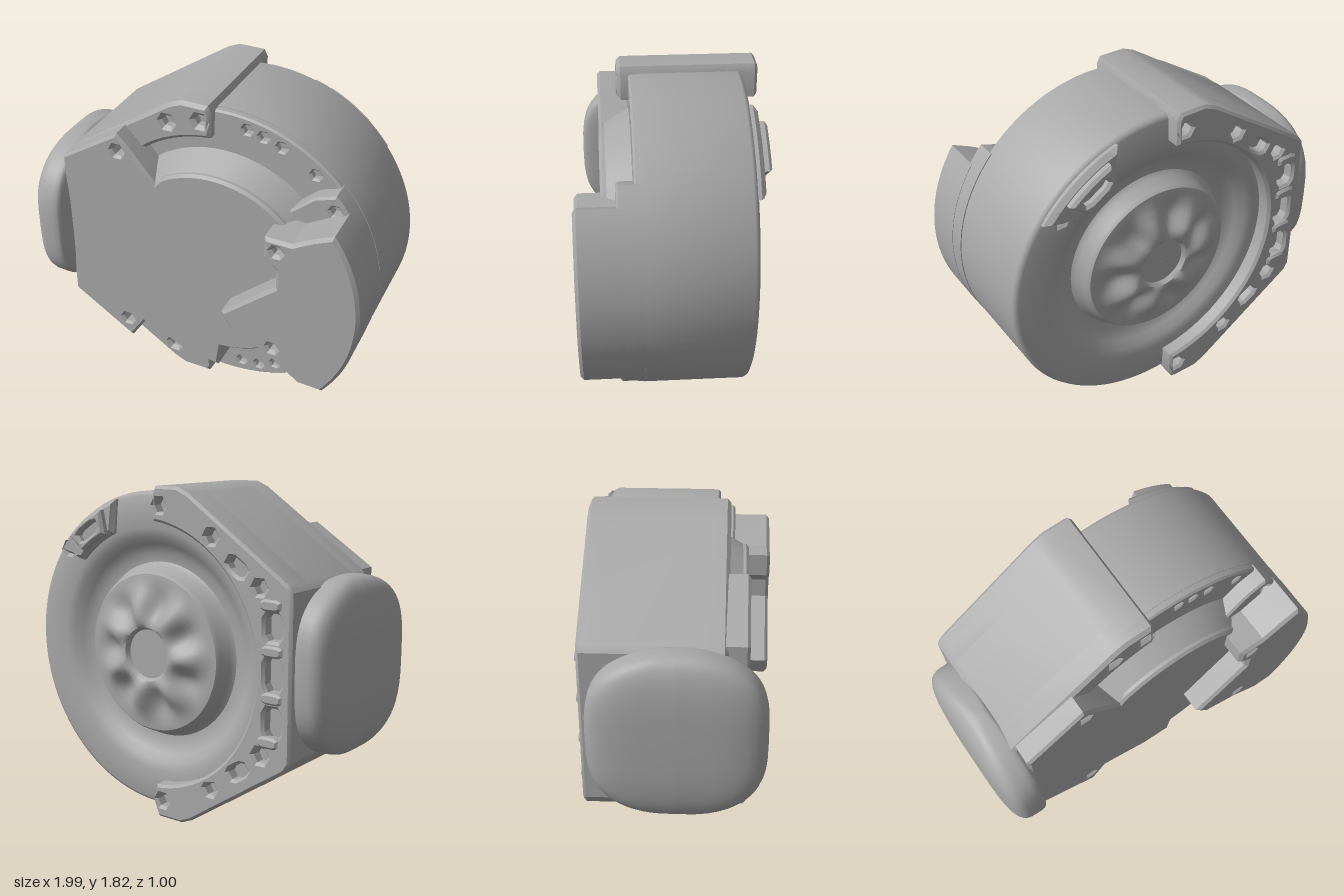
import * as THREE from 'three';
import { toCreasedNormals } from 'three/addons/utils/BufferGeometryUtils.js';

const CX = 0.11, CY = 0.92, R = 0.877;
const RAD = Math.PI / 180;

// points along an arc (degrees) about the drum axis, or about any given centre
function arc(r, a0, a1, n, cx = CX, cy = CY) {
  return Array.from({ length: n + 1 }, (_, i) => {
    const a = (a0 + (a1 - a0) * i / n) * RAD;
    return [cx + r * Math.cos(a), cy + r * Math.sin(a)];
  });
}
const vecs = (pts) => pts.map(([x, y]) => new THREE.Vector2(x, y));
const screw = (x, y, r = 0.035) => arc(r, 0, 300, 5, x, y);

// rounded slot, turned by an angle in degrees
function slot(x, y, w, h, turn = 0) {
  const c = Math.cos(turn * RAD), s = Math.sin(turn * RAD), k = 0.6;
  return [[1, -k], [1, k], [k, 1], [-k, 1], [-1, k], [-1, -k], [-k, -1], [k, -1]]
    .map(([u, v]) => [x + u * w * c - v * h * s, y + u * w * s + v * h * c]);
}
const power = (v, e) => Math.sign(v) * Math.abs(v) ** e;

export function createModel() {
  const group = new THREE.Group();
  const metal = new THREE.MeshStandardMaterial({ color: 0xa8a8a8 });
  metal.name = 'cast metal grey';

  function add(name, geometry, crease = 0.5) {
    const mesh = new THREE.Mesh(toCreasedNormals(geometry, crease), metal);
    mesh.name = name;
    group.add(mesh);
  }
  // flat part between two depths, with chamfered edges and holes
  function plate(name, pts, z0, z1, { holes = [], bevel = 0.015 } = {}) {
    const shape = new THREE.Shape(vecs(pts));
    holes.forEach((h) => shape.holes.push(new THREE.Path(vecs(h))));
    const geo = new THREE.ExtrudeGeometry(shape, {
      depth: z1 - z0 - 2 * bevel, bevelEnabled: bevel > 0, bevelThickness: bevel,
      bevelSize: bevel, bevelOffset: -bevel, bevelSegments: 1,
    });
    geo.translate(0, 0, z0 + bevel);
    add(name, geo);
  }

  // drum with a ring groove and a domed, lobed hub on its back, turned about the z axis
  const profile = [
    [0.001, -0.45], [0.135, -0.45], [0.15, -0.475], [0.17, -0.48], [0.2, -0.475], [0.23, -0.465],
    [0.27, -0.45], [0.31, -0.44], [0.35, -0.43], [0.4, -0.425], [0.435, -0.42], [0.45, -0.4],
    [0.465, -0.335], [0.49, -0.315], [0.54, -0.32], [0.59, -0.35], [0.63, -0.385], [0.68, -0.4],
    [0.85, -0.4], [0.868, -0.392], [R, -0.375], [R, 0.16], [0.001, 0.16],
  ];
  const drum = new THREE.LatheGeometry(vecs(profile), 96);
  drum.rotateX(Math.PI / 2);
  const p = drum.attributes.position;
  for (let i = 0; i < p.count; i++) {
    const x = p.getX(i), y = p.getY(i), r = Math.hypot(x, y);
    if (r > 0.16 && r < 0.38 && p.getZ(i) < 0) {
      const fade = Math.sin(Math.PI * (r - 0.16) / 0.22);
      p.setZ(i, p.getZ(i) + 0.035 * fade * Math.cos(7 * Math.atan2(y, x)));
    }
  }
  drum.translate(CX, CY, 0);
  add('drum', drum, 0.7);

  // front rim with screw holes
  plate('frontRim', arc(R - 0.003, 0, 357, 119), 0.13, 0.2, {
    holes: [arc(0.6, 0, 355, 71), ...[
      [0.23, 1.72], [0.32, 1.7], [0.42, 1.665], [0.61, 1.555],
      [0.61, 0.28], [0.43, 0.19], [0.33, 0.145], [0.22, 0.135],
    ].map(([x, y]) => screw(x, y, 0.028))], bevel: 0.01,
  });
  // sloped shoulder around the front disc
  const shoulder = new THREE.CylinderGeometry(0.56, 0.66, 0.17, 64);
  shoulder.rotateX(Math.PI / 2);
  shoulder.translate(CX, CY, 0.265);
  add('frontShoulder', shoulder);

  // side housing that wraps the left of the drum
  const housing = [
    [0.05, 1.79], [0.03, 1.83], [-0.12, 1.83], [-0.19, 1.8], [-0.8, 1.39], [-0.83, 1.35],
    [-0.83, 0.49], [-0.8, 0.44], [-0.2, 0.04], [-0.13, 0.01], [0.03, 0.01], [0.05, 0.05],
    ...arc(0.73, 265, 95, 40),
  ];
  plate('housingCore', housing, -0.42, 0.19, { bevel: 0 });
  plate('housingFront', housing, 0.1, 0.26, {
    holes: [[-0.2, 1.69], [-0.01, 1.74], [-0.2, 0.15]].map(([x, y]) => screw(x, y)), bevel: 0.02,
  });
  plate('housingBack', housing, -0.485, -0.3, {
    holes: [
      screw(0, 1.73, 0.04), screw(-0.34, 1.59, 0.04), slot(-0.5, 1.45, 0.035, 0.06, -58),
      screw(-0.64, 1.36, 0.04), slot(-0.72, 1.17, 0.05, 0.07), slot(-0.72, 0.93, 0.05, 0.09),
      slot(-0.72, 0.68, 0.05, 0.08), screw(-0.65, 0.5, 0.045), slot(-0.51, 0.385, 0.035, 0.06, 58),
      screw(-0.33, 0.25, 0.04), screw(0, 0.11, 0.04),
    ],
  });
  // low bosses between the back pockets
  for (const [x, y] of [[-0.71, 1.28], [-0.72, 1.05], [-0.72, 0.81], [-0.7, 0.58]]) {
    plate('backBoss', slot(x, y, 0.06, 0.03), -0.5, -0.44, { bevel: 0.012 });
  }

  // rounded end lug on the left, steeper on its inner side and deepest at mid height
  const lugGeo = new THREE.SphereGeometry(1, 40, 32);
  const lp = lugGeo.attributes.position;
  for (let i = 0; i < lp.count; i++) {
    const lat = Math.asin(THREE.MathUtils.clamp(lp.getY(i), -1, 1));
    const lon = Math.atan2(lp.getZ(i), lp.getX(i));
    const c = Math.abs(Math.cos(lat)), x = c ** 0.6 * power(Math.cos(lon), 0.5);
    lp.setXYZ(i, -0.84 + x * (x < 0 ? 0.16 : 0.07), 0.92 + 0.47 * power(Math.sin(lat), 0.6),
      0.46 * c * power(Math.sin(lon), 0.5) + 0.01);
  }
  add('endLug', lugGeo, 0.8);

  // front cover: side plate and round centre in one piece
  plate('frontCover', [
    ...arc(0.57, 44, 122, 24), [-0.23, 1.36], [-0.38, 1.54], [-0.45, 1.61], [-0.8, 1.385],
    [-0.8, 0.45], [-0.43, 0.21], [-0.34, 0.35], [-0.18, 0.28], [-0.05, 0.22], [0.14, 0.2],
    ...arc(0.57, -85, -42, 12), [0.62, 0.7], [0.62, 1.2],
  ], 0.12, 0.365, { holes: [[-0.45, 1.505], [-0.45, 0.34]].map(([x, y]) => screw(x, y)) });

  // raised cover on the right with its lower ledge
  const ledge = [...arc(R + 0.002, -42, 43, 34), [0.64, 1.48], [0.45, 1.31], [0.46, 0.55], [0.65, 0.36]];
  plate('ledgeCore', ledge, 0.17, 0.23, { bevel: 0 });
  plate('ledge', ledge, 0.17, 0.29, {
    holes: [screw(0.755, 1.43, 0.03), screw(0.755, 0.41, 0.03)], bevel: 0.012,
  });
  const cover = [
    ...arc(R + 0.004, -36.5, 35.7, 30), [0.72, 1.385], [0.61, 1.32], [0.46, 1.32], [0.46, 1.19],
    [0.53, 1.13], [0.53, 1.02], [0.22, 0.74], [0.28, 0.63], [0.5, 0.53], [0.68, 0.4],
  ];
  plate('rightCoverCore', cover, 0.26, 0.44, { bevel: 0 });
  plate('rightCover', cover, 0.26, 0.5, {
    holes: [screw(0.53, 1.25, 0.028), screw(0.525, 0.6, 0.028)], bevel: 0.018,
  });

  // low lug on the upper rim of the back, with a slotted raised block
  const at = (r, a) => [CX + r * Math.cos(a * RAD), CY + r * Math.sin(a * RAD)];
  plate('backLug', [...arc(0.86, 37, 73, 14), ...arc(0.69, 67, 43, 8)], -0.44, -0.37, {
    holes: [screw(...at(0.8, 41.5), 0.025)], bevel: 0.025,
  });
  plate('backLugBlock', [...arc(0.83, 47, 67, 8), ...arc(0.7, 65, 49, 6)], -0.48, -0.42, {
    holes: [slot(...at(0.765, 57), 0.03, 0.08, 57)],
  });
  return group;
}
